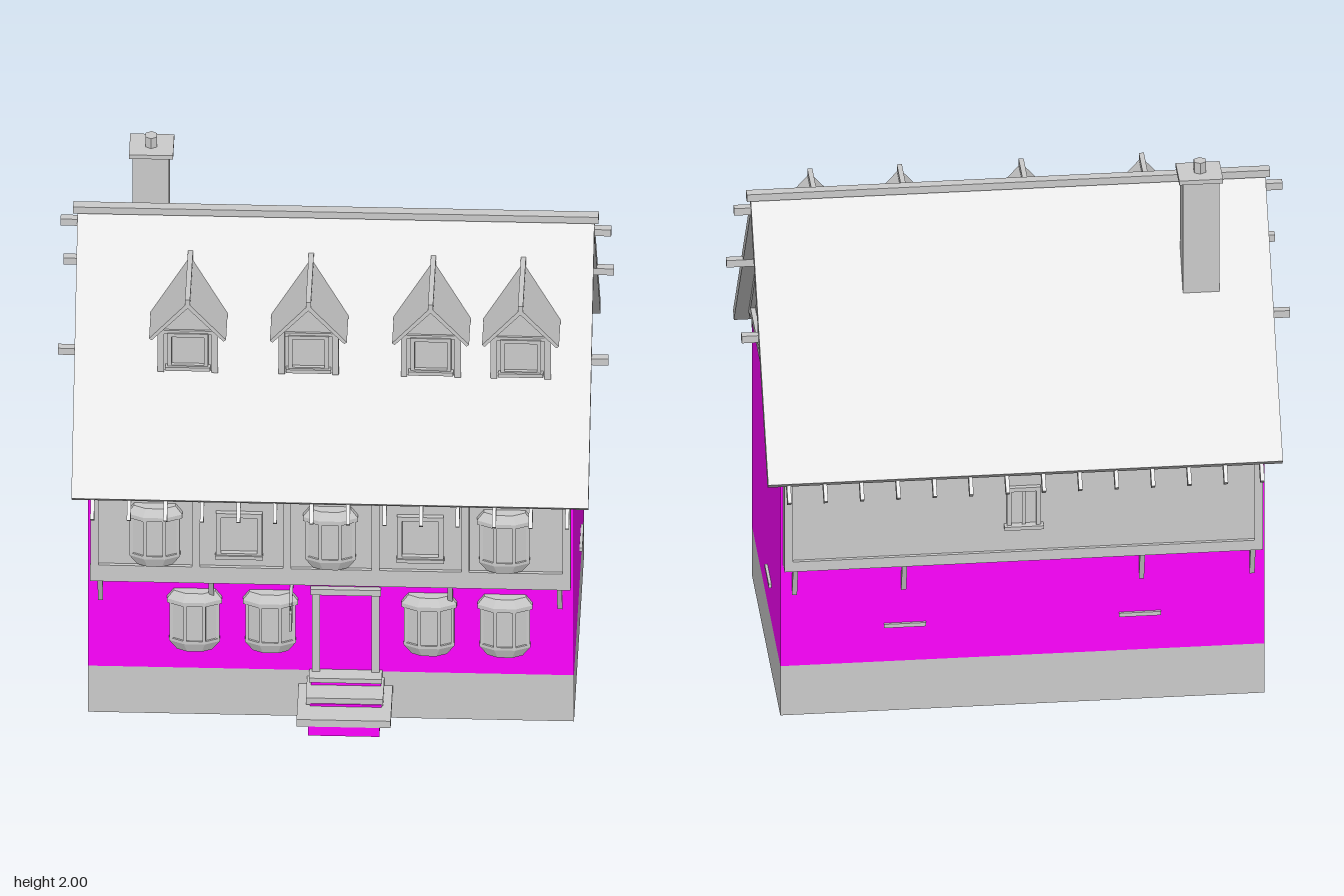
import * as THREE from 'three';

const GREY = new THREE.MeshStandardMaterial({ color: 0xcccccc, flatShading: true });
const PINK = new THREE.MeshStandardMaterial({ color: 0xff00ff, flatShading: true });
const ZC = -0.03;                 // ridge line in z
const APEX = 1.815, SLOPE = 1.258; // outer roof surface
const roofY = z => APEX - SLOPE * Math.abs(z - ZC);

export function createModel() {
  const house = new THREE.Group();
  house.name = 'house';

  const add = (name, geo, parent = house, mat = GREY) => {
    const m = new THREE.Mesh(geo, mat);
    m.name = name;
    parent.add(m);
    return m;
  };
  // box given by its limits
  const box = (name, x0, x1, y0, y1, z0, z1, parent = house, mat = GREY) => {
    const m = add(name, new THREE.BoxGeometry(x1 - x0, y1 - y0, z1 - z0), parent, mat);
    m.position.set((x0 + x1) / 2, (y0 + y1) / 2, (z0 + z1) / 2);
    return m;
  };
  const group = (name, x = 0, y = 0, z = 0) => {
    const g = new THREE.Group();
    g.name = name;
    g.position.set(x, y, z);
    house.add(g);
    return g;
  };
  const extrude = (pts, depth) => new THREE.ExtrudeGeometry(
    new THREE.Shape(pts.map(p => new THREE.Vector2(...p))), { depth, bevelEnabled: false });
  // [z, y] outline extruded along x, centred on x = 0
  const alongX = (pts, width) => extrude(pts, width).rotateY(-Math.PI / 2).translate(width / 2, 0, 0);
  // sloping timber in a plane of constant x, ends given as [z, y]
  const strut = (name, x, a, b, wx, wz, parent = house) => {
    const dz = b[0] - a[0], dy = b[1] - a[1];
    const m = add(name, new THREE.BoxGeometry(wx, Math.hypot(dz, dy), wz), parent);
    m.position.set(x, (a[1] + b[1]) / 2, (a[0] + b[0]) / 2);
    m.rotation.x = Math.atan2(dz, dy);
    return m;
  };
  // rectangular frame facing +z, with a glass pane behind
  const frame = (name, w, h, t, d, parent) => {
    const s = new THREE.Shape([[-w, -h], [w, -h], [w, h], [-w, h]].map(p => new THREE.Vector2(p[0] / 2, p[1] / 2)));
    const iw = w / 2 - t, ih = h / 2 - t;
    s.holes.push(new THREE.Path([[-iw, -ih], [-iw, ih], [iw, ih], [iw, -ih]].map(p => new THREE.Vector2(...p))));
    return add(name, new THREE.ExtrudeGeometry(s, { depth: d, bevelEnabled: false }), parent);
  };

  // Walls
  box('foundation', -0.865, 0.865, 0, 0.2, -0.555, 0.487);
  box('plasterWalls', -0.865, 0.865, 0.2, 1.065, -0.555, 0.487, house, PINK);
  add('upperStorey', alongX([[-0.595, 0.62], [0.535, 0.62], [0.535, 1.045], [ZC, 1.765], [-0.595, 1.045]], 1.71));

  // Main roof
  const ef = 0.61, eb = -0.675;
  add('roof', alongX([[ef, roofY(ef)], [ZC, APEX], [eb, roofY(eb)], [eb + 0.028, roofY(eb) - 0.025],
    [ZC, APEX - 0.058], [ef - 0.028, roofY(ef) - 0.025]], 1.84));
  box('ridgeCap', -0.935, 0.935, 1.812, 1.84, ZC - 0.018, ZC + 0.018);
  for (const [z, y] of [[ZC, 1.77], [0.25, 1.405], [-0.31, 1.405]])
    box('purlin', -0.98, 0.98, y - 0.014, y + 0.014, z - 0.014, z + 0.014);
  for (let i = 0; i < 14; i++) {
    const x = -0.845 + i * 0.13;
    for (const s of [1, -1])
      strut('rafterTail', x, [ZC + s * 0.49, roofY(ZC + s * 0.49) - 0.065],
        [ZC + s * 0.655, roofY(ZC + s * 0.655) - 0.062], 0.014, 0.035);
  }

  // Gable timbers, both ends
  for (const s of [1, -1]) {
    const x = s * 0.86;
    box('tieBeam', x - 0.012, x + 0.012, 1.065, 1.095, -0.575, 0.515);
    box('kingPost', x - 0.01, x + 0.01, 1.38, 1.76, ZC - 0.014, ZC + 0.014);
    box('gableStud', x - 0.01, x + 0.01, 1.09, 1.24, ZC - 0.012, ZC + 0.012);
    for (const k of [1, -1]) {
      strut('gableBrace', x, [ZC + k * 0.27, 1.09], [ZC + k * 0.02, 1.45], 0.02, 0.028);
      strut('gableRafter', x, [ZC + k * 0.56, 1.04], [ZC, 1.745], 0.024, 0.035);
      strut('collarBrace', x, [ZC + k * 0.13, 1.40], [ZC + k * 0.01, 1.47], 0.018, 0.02);
    }
    const w = group('gableWindow', s * 0.855, 1.305, ZC);
    w.rotation.y = s * Math.PI / 2;
    frame('gableWindowFrame', 0.13, 0.14, 0.016, 0.025, w);
    box('gableWindowMullion', -0.006, 0.006, -0.06, 0.06, 0, 0.015, w);
    box('gableWindowSill', -0.07, 0.07, -0.078, -0.065, 0, 0.032, w);
    box('sideSlit', s > 0 ? 0.86 : -0.875, s > 0 ? 0.875 : -0.86, 0.34, 0.355, -0.23, -0.08);
  }

  // Timber frame of the jettied storey
  box('frontSill', -0.855, 0.855, 0.61, 0.68, 0.487, 0.548);
  box('frontTopRail', -0.855, 0.855, 0.965, 1.0, 0.53, 0.548);
  for (const x of [-0.84, -0.478, -0.155, 0.16, 0.48, 0.84])
    box('frontPost', x - 0.014, x + 0.014, 0.68, 1.02, 0.53, 0.548);
  box('backSill', -0.855, 0.855, 0.61, 0.65, -0.608, -0.555);
  box('backTopRail', -0.855, 0.855, 0.97, 1.0, -0.608, -0.59);
  for (const x of [-0.84, 0.84]) box('backPost', x - 0.015, x + 0.015, 0.65, 1.02, -0.608, -0.59);
  for (const x of [-0.82, -0.425, 0.425, 0.815]) {
    strut('frontBracket', x, [0.485, 0.495], [0.535, 0.625], 0.018, 0.022);
    strut('backBracket', x, [-0.553, 0.495], [-0.595, 0.625], 0.018, 0.022);
  }

  // Flat windows of the upper storey
  for (const x of [-0.325, 0.32]) {
    const w = group('flatWindow', x, 0.822, 0.533);
    frame('flatWindowFrame', 0.165, 0.19, 0.018, 0.02, w);
    box('flatWindowSill', -0.085, 0.085, -0.1, -0.085, 0, 0.026, w);
  }
  const bw = group('backWindow', 0, 0.825, -0.593);
  bw.rotation.y = Math.PI;
  frame('backWindowFrame', 0.12, 0.17, 0.016, 0.02, bw);
  box('backWindowMullion', -0.006, 0.006, -0.08, 0.08, 0, 0.014, bw);
  box('backWindowSill', -0.07, 0.07, -0.08, -0.066, 0, 0.032, bw);
  for (const x of [-0.42, 0.42]) box('backSlit', x - 0.075, x + 0.075, 0.34, 0.355, -0.565, -0.55);

  // Bay windows: half octagons flattened against the wall
  const bay = (x, y, z) => {
    const g = group('bayWindow', x, y, z);
    const prof = [[0, 0], [0.068, 0], [0.098, 0.04], [0.098, 0.052], [0.086, 0.052], [0.086, 0.205],
      [0.106, 0.205], [0.106, 0.222], [0.08, 0.255], [0, 0.255]];
    const body = add('bayBody', new THREE.LatheGeometry(prof.map(p => new THREE.Vector2(...p)), 8, Math.PI / 8), g);
    body.scale.z = 0.46;
    for (const a of [-3, -1, 1, 3]) {
      const t = a * Math.PI / 8, px = 0.09 * Math.sin(t), pz = 0.041 * Math.cos(t);
      box('bayMullion', px - 0.006, px + 0.006, 0.05, 0.207, pz - 0.006, pz + 0.005, g);
    }
  };
  for (const x of [-0.625, 0, 0.62]) bay(x, 0.69, 0.537);
  for (const x of [-0.485, -0.215, 0.35, 0.62]) bay(x, 0.29, 0.487);

  // Dormers
  for (const x of [-0.515, -0.085, 0.35, 0.67]) {
    const g = group('dormer', x);
    add('dormerBody', extrude([[-0.09, 1.375], [0.09, 1.375], [0.09, 1.565], [0, 1.672], [-0.09, 1.565]], 0.23)
      .translate(0, 0, 0.09), g);
    add('dormerRoof', extrude([[-0.137, 1.535], [-0.128, 1.527], [0, 1.668], [0.128, 1.527], [0.137, 1.535], [0, 1.692]], 0.305)
      .translate(0, 0, 0.053), g);
    box('dormerRidge', -0.009, 0.009, 1.685, 1.708, 0.055, 0.362, g);
    for (const s of [-1, 1]) box('dormerPost', s * 0.096 - 0.011, s * 0.096 + 0.011, 1.372, 1.56, 0.3, 0.33, g);
    box('dormerRail', -0.1, 0.1, 1.535, 1.55, 0.31, 0.328, g);
    const f = frame('dormerWindowFrame', 0.145, 0.15, 0.015, 0.015, g);
    f.position.set(0, 1.465, 0.318);
    box('dormerSill', -0.08, 0.08, 1.385, 1.4, 0.31, 0.342, g);
  }

  // Chimney
  box('chimneyStack', -0.73, -0.6, 1.38, 1.945, -0.288, -0.182);
  box('chimneyCap', -0.742, -0.585, 1.94, 1.957, -0.308, -0.175);
  add('chimneyPot', new THREE.CylinderGeometry(0.024, 0.024, 0.05, 6)).position.set(-0.665, 1.975, -0.24);

  // Door frame
  const dx = 0.053;
  for (const s of [-1, 1]) box('doorPost', dx + s * 0.106 - 0.014, dx + s * 0.106 + 0.014, 0.2, 0.545, 0.48, 0.502);
  box('doorLintel', dx - 0.125, dx + 0.125, 0.54, 0.565, 0.48, 0.508);

  // Entrance steps: overhanging treads on plaster risers
  box('lowerRiser', -0.075, 0.18, 0.07, 0.11, 0.48, 0.708, house, PINK);
  box('lowerTread', -0.115, 0.22, 0.11, 0.14, 0.48, 0.71);
  box('middleRiser', -0.07, 0.185, 0.135, 0.15, 0.48, 0.625, house, PINK);
  box('middleTread', -0.085, 0.19, 0.145, 0.173, 0.48, 0.622);
  box('upperRiser', -0.07, 0.18, 0.17, 0.187, 0.48, 0.54, house, PINK);
  box('upperTread', -0.077, 0.183, 0.186, 0.205, 0.48, 0.545);

  // Hanging sign board
  box('signBracket', -0.146, -0.134, 0.56, 0.57, 0.48, 0.61);
  box('signBoard', -0.145, -0.135, 0.46, 0.535, 0.53, 0.622);
  for (const z of [0.545, 0.6]) box('signHanger', -0.142, -0.138, 0.53, 0.562, z - 0.003, z + 0.003);

  return house;
}
